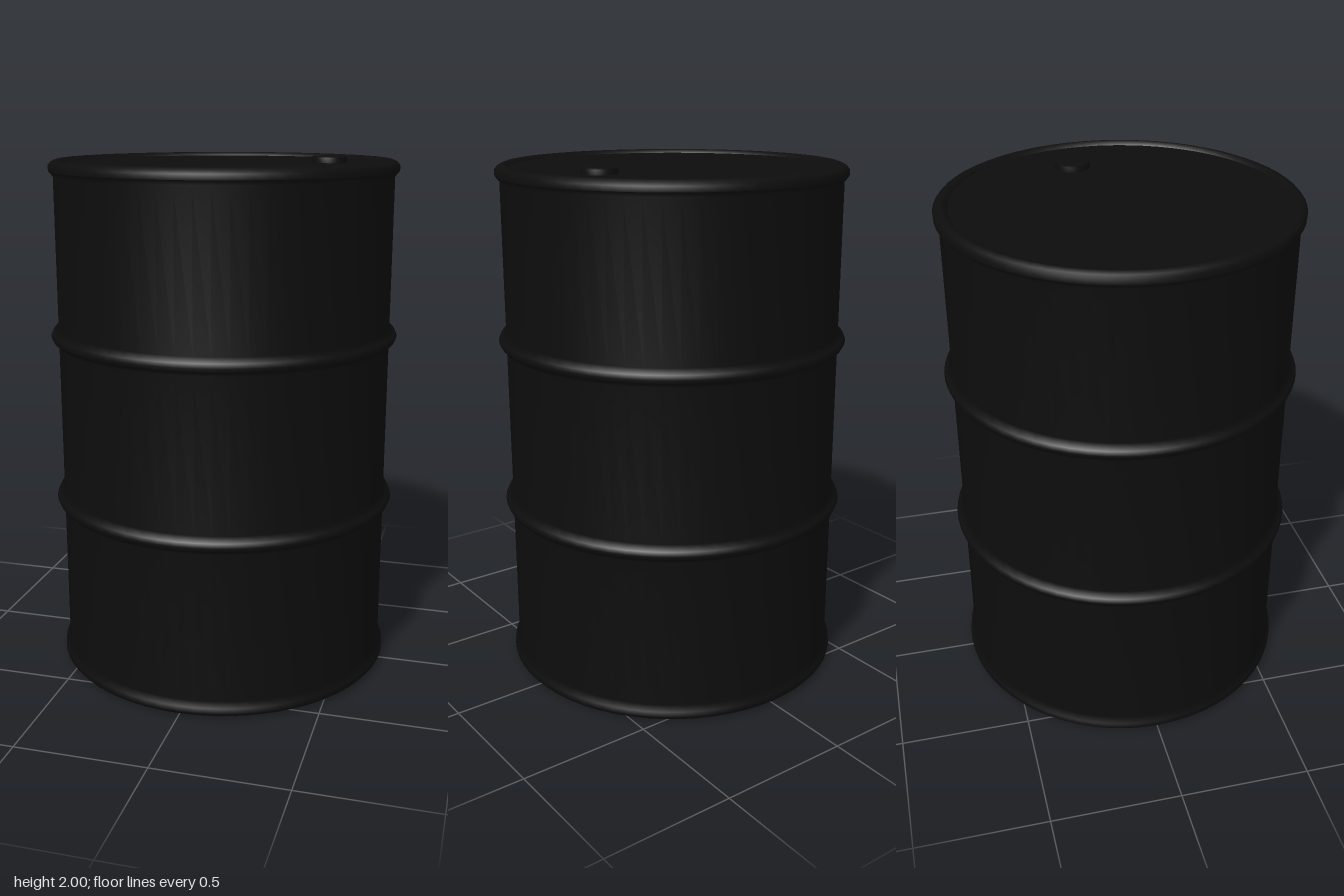
import * as THREE from 'three';

const SEGMENTS = 64;

// Turn a list of [radius, height] pairs, bottom to top, into a smooth round mesh
function turned(name, profile, segments, material) {
  const points = profile.map(([r, y]) => new THREE.Vector2(r, y));
  const mesh = new THREE.Mesh(new THREE.LatheGeometry(points, segments), material);
  mesh.name = name;
  return mesh;
}

// Profile of one rolling hoop pressed out of the wall at height y
const hoop = (y) => [
  [0.642, y - 0.036], [0.664, y - 0.016], [0.671, y], [0.664, y + 0.016], [0.642, y + 0.036],
];

export function createModel() {
  const model = new THREE.Group();
  model.name = 'drum';
  const blackSteel = new THREE.MeshStandardMaterial({ color: 0x0d0d0d });
  blackSteel.name = 'blackSteel';

  // Base, rolled bottom edge, wall with two hoops, and lower half of the top edge
  model.add(turned('body', [
    [0, 0.005], [0.6, 0.005], [0.62, 0.005], [0.65, 0.016], [0.66, 0.028], [0.659, 0.05], [0.642, 0.07],
    ...hoop(0.683),
    ...hoop(1.33),
    [0.642, 1.93], [0.659, 1.95],
  ], SEGMENTS, blackSteel));

  // Rolled top rim, stepping down on the inside to the lid
  model.add(turned('topRim', [
    [0.659, 1.95], [0.66, 1.97], [0.65, 1.982], [0.632, 1.99], [0.618, 1.988], [0.608, 1.976],
  ], SEGMENTS, blackSteel));

  // Slightly sunken lid
  model.add(turned('lid', [[0.608, 1.976], [0.3, 1.976], [0, 1.976]], SEGMENTS, blackSteel));

  // Filler cap on the lid
  const cap = turned('fillerCap', [
    [0.067, 1.97], [0.067, 1.994], [0.062, 2], [0, 2],
  ], 32, blackSteel);
  cap.position.set(0.385, 0, -0.095);
  model.add(cap);

  return model;
}
